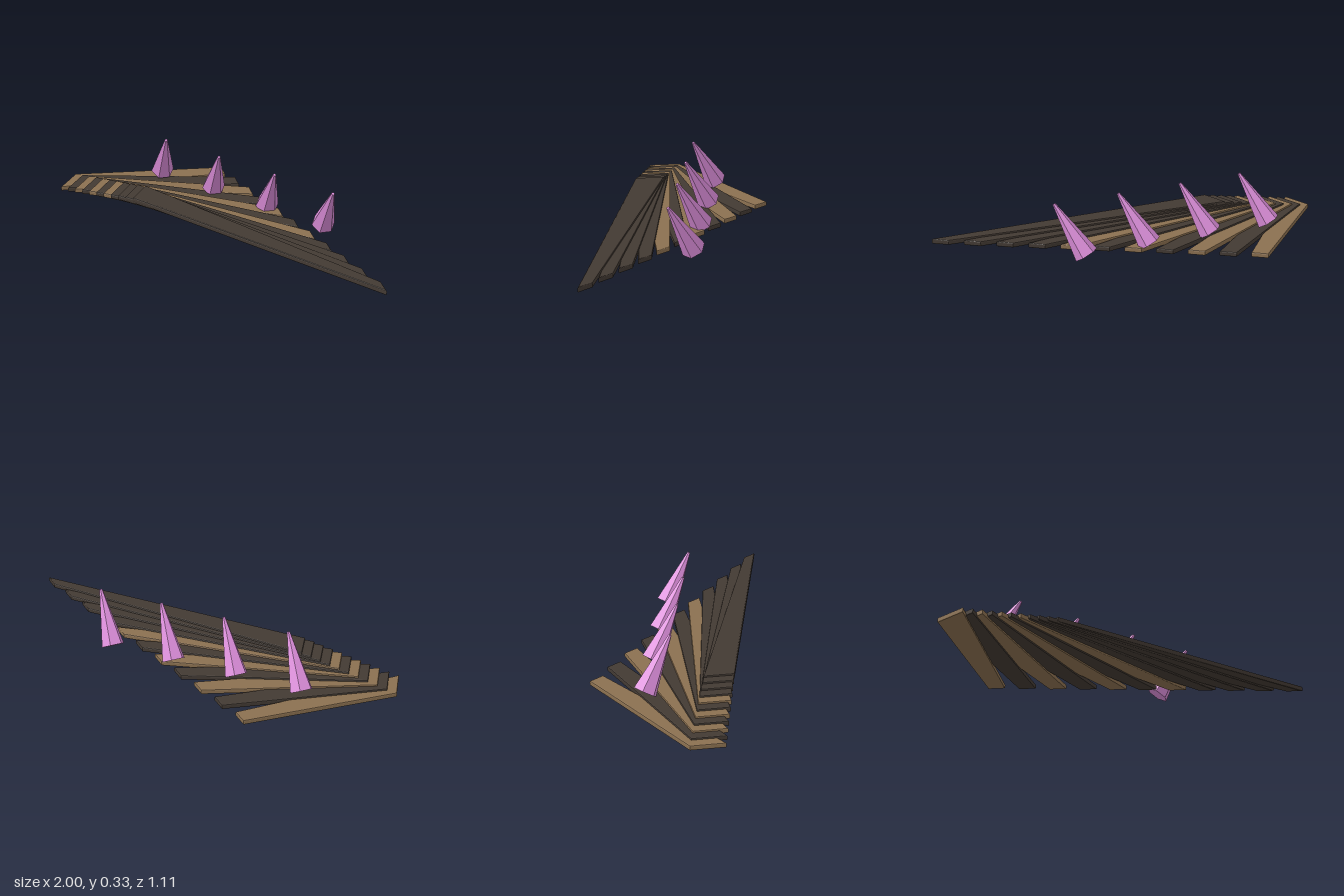
import * as THREE from 'three';

const brown = new THREE.MeshStandardMaterial({ color: 0x8b7050 });
const dark = new THREE.MeshStandardMaterial({ color: 0x433a33 });
const pink = new THREE.MeshStandardMaterial({ color: 0xda8cd8, flatShading: true });

const FEATHERS = 11;
const THICK = 0.026;
const BEVEL = 0.006;

// Flat tapered slat with a straight root and a slanted tip, outlined in x/z
function featherGeometry(i) {
  const rootX = -1 + 0.05 * i;
  const tipX = -0.28 + 0.1225 * i;
  const tipZ = -0.56 + 0.104 * i;
  const shape = new THREE.Shape([
    new THREE.Vector2(rootX, -0.18 + 0.0155 * i),
    new THREE.Vector2(tipX, tipZ),
    new THREE.Vector2(tipX + 0.05, tipZ + 0.072),
    new THREE.Vector2(rootX, -0.008 + 0.0138 * i),
  ]);
  const geometry = new THREE.ExtrudeGeometry(shape, {
    depth: THICK - 2 * BEVEL,
    bevelThickness: BEVEL,
    bevelSize: BEVEL,
    bevelOffset: -BEVEL,
    bevelSegments: 2,
  });
  geometry.rotateX(Math.PI / 2);
  geometry.translate(0, THICK - BEVEL, 0);
  return geometry;
}

export function createModel() {
  const model = new THREE.Group();
  model.name = 'wing';

  // Fan of overlapping feathers, each a step higher than the last
  const feathers = new THREE.Group();
  feathers.name = 'feathers';
  for (let i = 0; i < FEATHERS; i++) {
    const isBrown = i % 2 === 0 && i < 7;
    const feather = new THREE.Mesh(featherGeometry(i), isBrown ? brown : dark);
    feather.name = `feather${i + 1}`;
    feather.position.y = 0.0092 * i;
    feathers.add(feather);
  }
  model.add(feathers);

  // Row of leaning six-sided crystals
  const crystals = new THREE.Group();
  crystals.name = 'crystals';
  const crystalGeometry = new THREE.CylinderGeometry(0.008, 0.061, 0.3, 6);
  crystalGeometry.translate(0, -0.15, 0); // origin at the tip
  for (let i = 0; i < 4; i++) {
    const crystal = new THREE.Mesh(crystalGeometry, pink);
    crystal.name = `crystal${i + 1}`;
    crystal.position.set(-0.444 + 0.34 * i, 0.325, -0.18 + 0.09 * i);
    crystal.rotation.set(0.5, 0, -0.3);
    crystals.add(crystal);
  }
  // Tips run from the back left of the fan towards the front
  model.add(crystals);

  return model;
}
